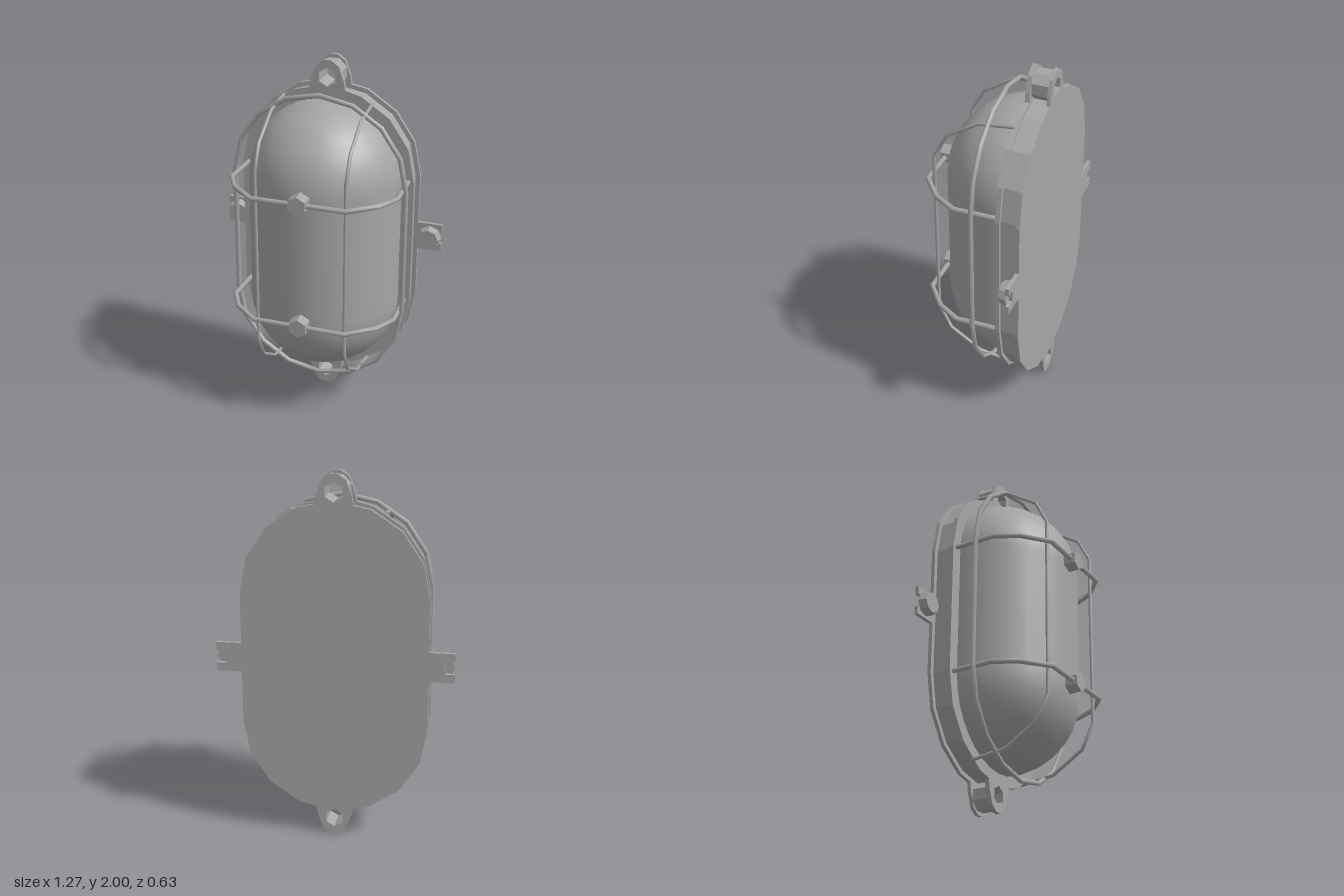
import * as THREE from 'three';

const R = 0.5, MID = 0.36, CY = 1; // end radius, half length of the straight sides, centre height

// Polyline curve: a tube with one ring per corner
class Polyline extends THREE.Curve {
  constructor(points) { super(); this.points = points; }
  getUtoTmapping(u) { return u; }
  getPoint(t, target = new THREE.Vector3()) {
    const n = this.points.length - 1;
    const f = Math.min(Math.max(t, 0), 1) * n;
    const i = Math.min(Math.floor(f), n - 1);
    return target.lerpVectors(this.points[i], this.points[i + 1], f - i);
  }
}

// Corners of the right upper quarter of the rounded outline
function quarter(r, steps) {
  const pts = [];
  for (let i = 0; i <= steps; i++) {
    const a = (i / steps) * Math.PI / 2;
    pts.push([r * Math.cos(a), MID + r * Math.sin(a)]);
  }
  return pts;
}

// Mirror a quarter outline into a closed counter-clockwise loop around the centre
function mirrorLoop(q) {
  const left = q.map(([x, y]) => [-x, y]).reverse();
  const top = [...q, ...left];
  const bottom = top.map(([x, y]) => [-x, -y]);
  return [...top, ...bottom].filter(([x, y], i, all) => {
    const p = all[(i + all.length - 1) % all.length];
    return Math.hypot(x - p[0], y - p[1]) > 1e-4;
  });
}

function circleHole(y, r) {
  const hole = new THREE.Path();
  for (let i = 0; i < 6; i++) {
    const a = -(i / 6) * Math.PI * 2 + Math.PI / 2;
    const x = r * Math.cos(a), py = y + r * Math.sin(a);
    if (i) hole.lineTo(x, py); else hole.moveTo(x, py);
  }
  hole.closePath();
  return hole;
}

function extrude(points, z0, z1, holes = []) {
  const shape = new THREE.Shape(points.map(([x, y]) => new THREE.Vector2(x, y)));
  shape.holes.push(...holes);
  const g = new THREE.ExtrudeGeometry(shape, { depth: z1 - z0, bevelEnabled: false });
  g.translate(0, CY, z0);
  return g;
}

export function createModel() {
  const group = new THREE.Group();
  const metal = new THREE.MeshStandardMaterial({ color: 0xa6a6a6 });
  metal.name = 'grey';

  function add(name, geometry) {
    const mesh = new THREE.Mesh(geometry, metal);
    mesh.name = name;
    group.add(mesh);
    return mesh;
  }

  // Plates with a pierced ear at the top and bottom
  const ear = [[0.1, 0.84], [0.092, 0.89], [0.062, 0.97], [0.02, 1]];
  const earHoles = () => [circleHole(0.905, 0.052), circleHole(-0.905, 0.052)];
  const plate = r => mirrorLoop([...quarter(r, 4).slice(0, 4), ...ear]);
  add('backPlate', extrude(plate(R), -0.325, -0.305, earHoles()));
  add('frontFlange', extrude(plate(R - 0.005), -0.215, -0.19, earHoles()));

  // Housing between the plates
  add('housing', extrude(mirrorLoop(quarter(0.475, 4)), -0.305, -0.215));

  // Sleeves joining each pair of ears
  for (const s of [1, -1]) {
    const ring = [];
    for (let i = 0; i < 8; i++) {
      const a = (i + 0.5) / 8 * Math.PI * 2;
      ring.push([0.08 * Math.cos(a), s * 0.905 + 0.08 * Math.sin(a)]);
    }
    add('earSleeve', extrude(ring, -0.305, -0.215, [circleHole(s * 0.905, 0.052)]));
  }

  // Half capsule glass dome
  const profile = [];
  for (let i = 0; i <= 8; i++) {
    const a = -Math.PI / 2 + (i / 8) * Math.PI / 2;
    profile.push(new THREE.Vector2(Math.max(0.427 * Math.cos(a), 0), -MID + 0.427 * Math.sin(a)));
  }
  const upper = profile.map(p => new THREE.Vector2(p.x, -p.y)).reverse();
  const dome = new THREE.LatheGeometry([...profile, ...upper], 14, -Math.PI / 2, Math.PI);
  dome.scale(1, 1, 1.03);
  dome.translate(0, CY, -0.19);
  add('glassDome', dome);

  // Wire guard
  const tube = (name, pts, r, closed = false) =>
    add(name, new THREE.TubeGeometry(new Polyline(pts), pts.length - 1, r, 6, closed));

  const loop = mirrorLoop(quarter(0.487, 4)).map(([x, y]) => new THREE.Vector3(x, CY + y, -0.055));
  const side = new THREE.Vector3(0.487, CY, -0.055);
  tube('guardRing', [side, ...loop, side.clone()], 0.014, true);

  const barHalf = [[0.78, -0.2], [0.755, 0], [0.64, 0.18], [0.5, 0.25]];
  const barPath = [...barHalf, ...barHalf.map(([y, z]) => [-y, z]).reverse()];
  for (const x of [-0.25, 0.25]) {
    tube('guardUpright', barPath.map(([y, z]) => new THREE.Vector3(x, CY + y, z)), 0.01);
  }

  const hoopHalf = [[-0.462, -0.2], [-0.468, 0.045], [-0.4, 0.17], [-0.262, 0.285]];
  const hoopPath = [...hoopHalf, ...hoopHalf.map(([x, z]) => [-x, z]).reverse()];
  for (const s of [1, -1]) {
    const y = CY + s * 0.363;
    tube('guardHoop', hoopPath.map(([x, z]) => new THREE.Vector3(x, y, z)), 0.015);

    // Hexagonal stud holding the hoop to the dome
    const stud = new THREE.CylinderGeometry(0.053, 0.058, 0.08, 6).toNonIndexed();
    stud.computeVertexNormals();
    stud.rotateX(Math.PI / 2);
    stud.translate(0, y, 0.27);
    add('guardStud', stud);
  }

  // Slotted side lugs with hexagonal bolts
  const lug = [[0.49, -0.08], [0.637, -0.08], [0.637, -0.035], [0.585, -0.035],
    [0.585, 0.035], [0.637, 0.035], [0.637, 0.08], [0.49, 0.08]];
  for (const s of [1, -1]) {
    const outline = lug.map(([x, y]) => [s * x, y]);
    add('sideLug', extrude(outline, -0.325, -0.305));

    const bolt = new THREE.CylinderGeometry(0.058, 0.068, 0.045, 8).toNonIndexed();
    bolt.computeVertexNormals();
    bolt.rotateX(Math.PI / 2);
    bolt.translate(s * 0.568, CY, -0.2825);
    add('lugBolt', bolt);
  }

  return group;
}
